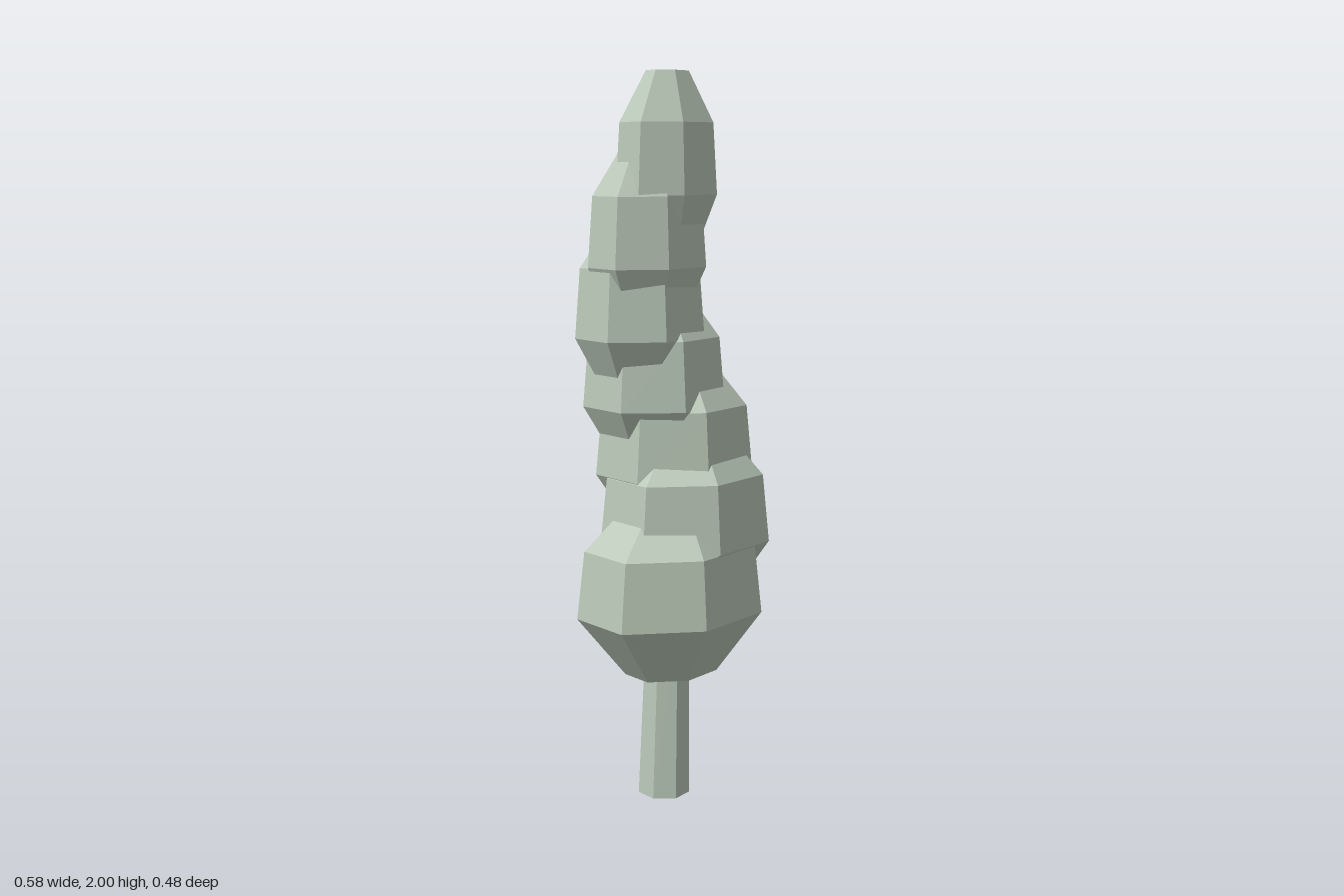
import * as THREE from 'three';

const SIDES = 7;

// Closed faceted solid from stacked heptagonal rings: [y, centreX, centreZ, radiusX, radiusZ]
function ringSolid(rings) {
  const pos = [];
  const index = [];
  for (const [y, cx, cz, rx, rz] of rings) {
    for (let j = 0; j < SIDES; j++) {
      const a = (j / SIDES) * Math.PI * 2;
      pos.push(cx + rx * Math.cos(a), y, cz + rz * Math.sin(a));
    }
  }
  for (let i = 0; i < rings.length - 1; i++) {
    for (let j = 0; j < SIDES; j++) {
      const a = i * SIDES + j;
      const b = i * SIDES + ((j + 1) % SIDES);
      index.push(a, a + SIDES, b, b, a + SIDES, b + SIDES);
    }
  }
  // bottom and top caps
  const top = (rings.length - 1) * SIDES;
  for (let j = 1; j < SIDES - 1; j++) {
    index.push(0, j, j + 1, top, top + j + 1, top + j);
  }
  const geo = new THREE.BufferGeometry();
  geo.setAttribute('position', new THREE.Float32BufferAttribute(pos, 3));
  geo.setIndex(index);
  const flat = geo.toNonIndexed();
  flat.computeVertexNormals();
  return flat;
}

export function createModel() {
  const group = new THREE.Group();
  const sage = new THREE.MeshStandardMaterial({ color: 0xbac8b8, flatShading: true });
  sage.name = 'sage green';

  const add = (name, rings) => {
    const mesh = new THREE.Mesh(ringSolid(rings), sage);
    mesh.name = name;
    group.add(mesh);
  };

  // Slightly leaning, tapered trunk
  add('trunk', [
    [0, -0.03, -0.017, 0.073, 0.074],
    [0.5, -0.02, -0.013, 0.06, 0.062],
  ]);

  // Foliage clumps spiralling upward: centreX, centreZ, radiusX, radiusZ at the widest ring
  const clumps = [
    [-0.035, 0.025, 0.283, 0.223],
    [0.03, 0.01, 0.256, 0.212],
    [0.025, -0.033, 0.23, 0.207],
    [-0.03, -0.055, 0.203, 0.19],
    [-0.085, -0.045, 0.188, 0.162],
    [-0.085, -0.01, 0.178, 0.134],
    [-0.045, 0.022, 0.155, 0.11],
  ];
  clumps.forEach(([cx, cz, rx, rz], i) => {
    const y = 0.54 + i * 0.19;
    const ring = (h, s) => [h, cx, cz, rx * s, rz * s];
    add('foliageClump' + (i + 1), [
      ring(y - 0.17, 0.5),
      ring(y, 1),
      ring(y + 0.187, 0.92),
      ring(y + 0.32, 0.42),
    ]);
  });

  return group;
}
